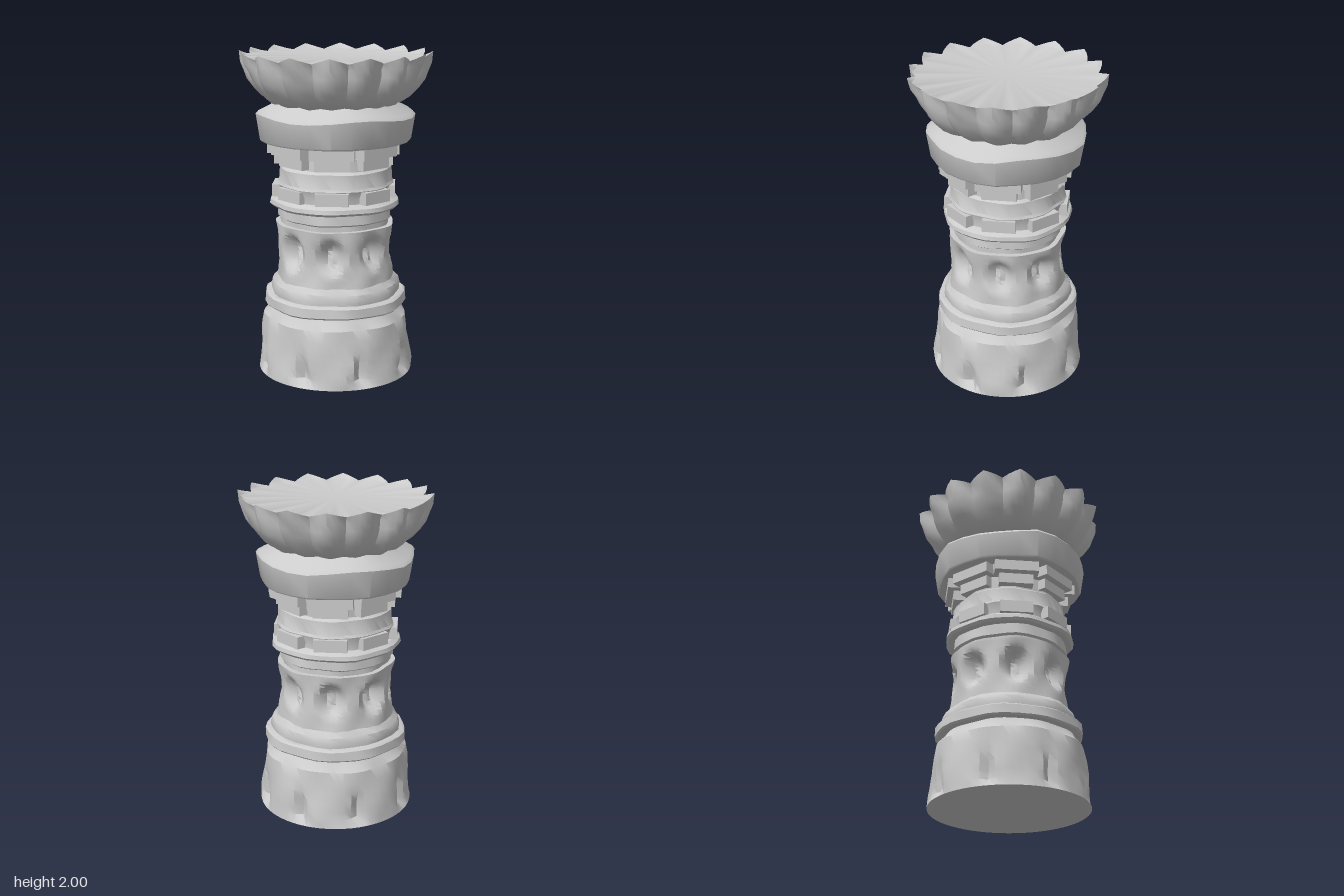
import * as THREE from 'three';
import { toCreasedNormals } from 'three/addons/utils/BufferGeometryUtils.js';

const material = new THREE.MeshStandardMaterial({ color: 0xcccccc });
const smooth = (a, b, x) => THREE.MathUtils.smoothstep(x, a, b);

// Worn stone: a small radius change that closes around the full turn
const wear = (a, y) => 0.006 * Math.sin(5 * a + 9 * y) + 0.005 * Math.sin(9 * a - 17 * y + 1);

// 0 on the centre line of each of n equal sectors, +-1 at the borders
const sector = (a, n, offset = 0) => {
  const t = (a / (2 * Math.PI)) * n + offset;
  return 2 * (t - Math.round(t));
};

// Closed turned part, its vertices moved by shape(angle, y, r) -> [r, y]
function turned(name, profile, segments, shape, crease = 0.6) {
  const [first, last] = [profile[0], profile[profile.length - 1]];
  const points = [[0, first[1]], ...profile, [0, last[1]]].map(([r, y]) => new THREE.Vector2(r, y));
  const geometry = new THREE.LatheGeometry(points, segments);
  const p = geometry.attributes.position;
  for (let i = 0; i < p.count; i++) {
    const x = p.getX(i), y = p.getY(i), z = p.getZ(i);
    const r = Math.hypot(x, z);
    if (r < 0.01) continue;
    const a = Math.atan2(x, z);
    const [nr, ny] = shape ? shape(a, y, r) : [r + wear(a, y), y];
    p.setXYZ(i, Math.sin(a) * nr, ny, Math.cos(a) * nr);
  }
  const mesh = new THREE.Mesh(toCreasedNormals(geometry, crease), material);
  mesh.name = name;
  return mesh;
}

// Ring of raised blocks around the shaft
function blockRing(name, count, width, y0, y1, outer, offset = 0) {
  const ring = new THREE.Group();
  ring.name = name;
  for (let i = 0; i < count; i++) {
    const a = ((i + offset) / count) * Math.PI * 2;
    const block = new THREE.Mesh(new THREE.BoxGeometry(width, y1 - y0, 0.1), material);
    const r = outer - 0.05 + 0.006 * Math.sin(i * 2.3);
    block.position.set(Math.sin(a) * r, (y0 + y1) / 2, Math.cos(a) * r);
    block.rotation.y = a;
    block.name = 'block';
    ring.add(block);
  }
  return ring;
}

export function createModel() {
  const model = new THREE.Group();
  model.name = 'column';

  // Flared foot with notches between broad petals
  model.add(turned('foot',
    [[0.485, 0], [0.48, 0.05], [0.475, 0.1], [0.468, 0.16], [0.462, 0.22], [0.455, 0.29], [0.445, 0.36], [0.405, 0.4], [0.385, 0.44]],
    64, (a, y, r) => {
      const edge = Math.abs(sector(a, 8));
      const notch = smooth(0.45 + 2 * y, 1, edge) * smooth(0, 0.04, y) * (1 - smooth(0.1, 0.26, y));
      return [r - 0.05 * notch + (y > 0 ? wear(a, y) : 0), y];
    }));

  // Lower mouldings
  model.add(turned('footRing', [[0.435, 0.43], [0.445, 0.44], [0.44, 0.495], [0.425, 0.505]], 32));
  model.add(turned('lowerMoulding', [[0.4, 0.49], [0.405, 0.53], [0.395, 0.57], [0.355, 0.61], [0.35, 0.64]], 32));

  // Drum with eight hollowed niches
  const drum = [];
  for (let i = 0; i <= 14; i++) drum.push([0.365 - 0.012 * Math.sin((i / 14) * Math.PI), 0.59 + (i / 14) * 0.36]);
  model.add(turned('carvedDrum', drum, 64, (a, y, r) => {
    const s = sector(a, 8) / 0.72, t = (y - 0.79) / 0.135;
    const hollow = 1 - smooth(0.3, 1, Math.hypot(s, t));
    const boss = 1 - smooth(0, 0.4, Math.hypot(s, t + 0.2));
    return [r - 0.07 * hollow + 0.02 * boss + wear(a, y), y];
  }));

  // Neck, collar and upper shaft
  model.add(turned('neck', [[0.335, 0.93], [0.335, 0.98], [0.35, 0.99], [0.345, 1.07]], 32));
  model.add(turned('collar', [[0.385, 1.055], [0.4, 1.07], [0.395, 1.095], [0.365, 1.115]], 32));
  model.add(turned('upperShaft',
    [[0.345, 1.1], [0.345, 1.15], [0.36, 1.195], [0.35, 1.21], [0.345, 1.295], [0.325, 1.31], [0.325, 1.39], [0.355, 1.4], [0.36, 1.48]], 32));
  model.add(blockRing('collarPanels', 8, 0.2, 1.115, 1.19, 0.378));
  model.add(blockRing('lowerBlocks', 8, 0.21, 1.32, 1.385, 0.362));
  model.add(blockRing('upperBlocks', 8, 0.27, 1.39, 1.455, 0.4));

  // Heavy capital with a sloping shoulder
  model.add(turned('capital', [[0.45, 1.46], [0.458, 1.47], [0.482, 1.62], [0.465, 1.64], [0.36, 1.69], [0.34, 1.72]], 24,
    (a, y, r) => [r + wear(a, 1.5), y + (y > 1.55 ? 0.012 * Math.sin(4 * a) : 0)]));

  // Flower bowl: sixteen cupped petals with pointed tips and a flat top
  model.add(turned('petalBowl',
    [[0.35, 1.69], [0.4, 1.705], [0.45, 1.74], [0.495, 1.78], [0.53, 1.83], [0.55, 1.88], [0.56, 1.93], [0.572, 1.965], [0.545, 1.968]],
    96, (a, y, r) => {
      const s = Math.abs(sector(a, 16));
      const h = (y - 1.69) / 0.28;
      const groove = 0.04 * Math.sin(Math.PI * Math.min(1, h * 0.85)) * s ** 2;
      const tip = r > 0.556 && y > 1.96 ? 1 - s : 0;
      const flare = y > 1.92 ? 0.016 * (1 - 2 * s) : 0;
      const fold = 0.014 * Math.cos(8 * a) * Math.sin(Math.PI * Math.min(1, h));
      return [r + flare - groove + fold + 0.5 * wear(a, 2), y + tip * 0.035 - (h < 0.2 ? 0.012 * (1 - s) : 0)];
    }, 0.7));

  return model;
}
